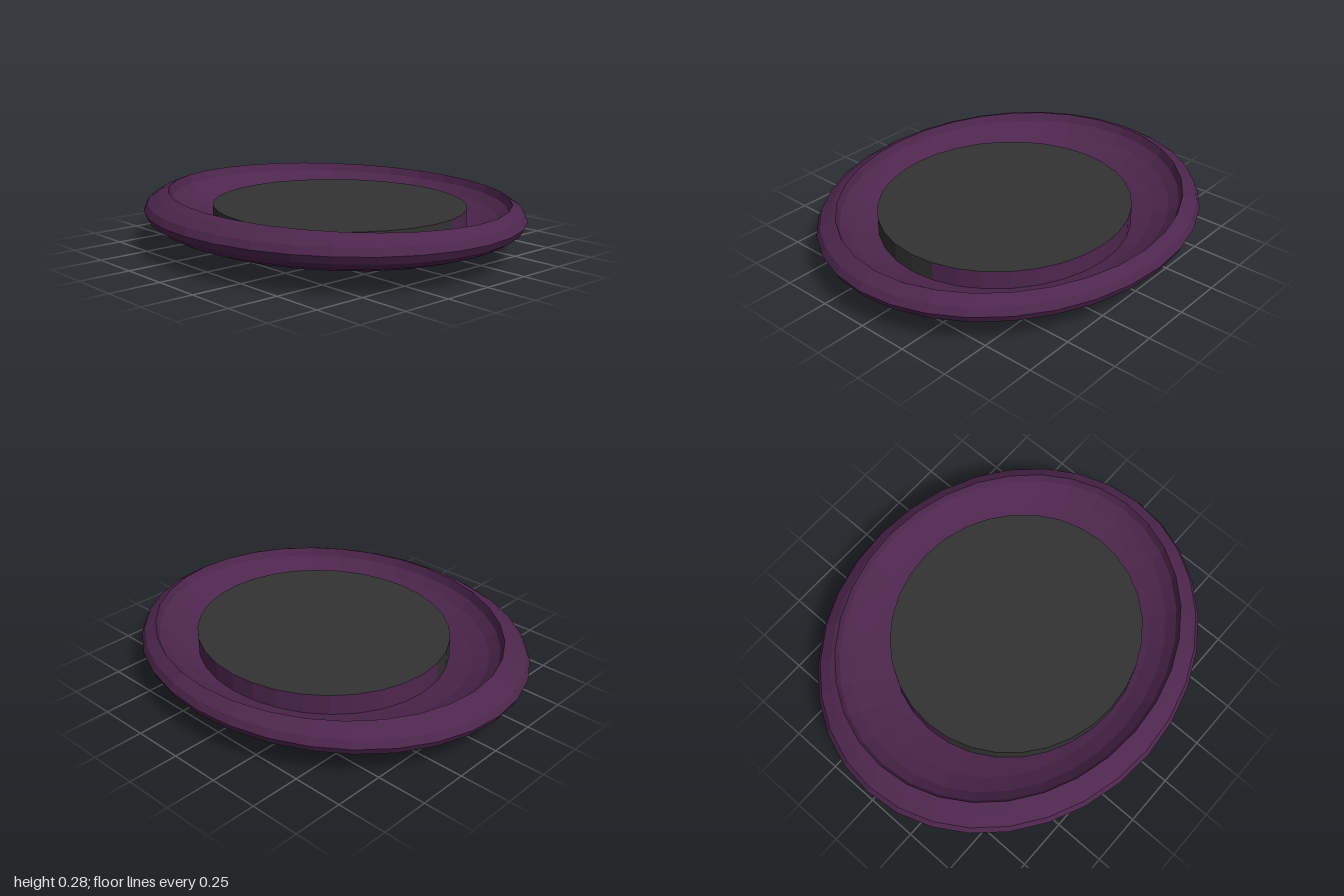
import * as THREE from 'three';

const SEGMENTS = 32;
const STEP = Math.PI / 16;
const RX = 0.87, RZ = 1.0, RY = 0.185; // outer ellipsoid radii

// Skin a list of closed rings; the first and last rings are single poles
function skin(rings) {
  const positions = rings.flat(2);
  const index = [];
  for (let i = 0; i < rings.length - 1; i++) {
    for (let j = 0; j < SEGMENTS; j++) {
      const k = (j + 1) % SEGMENTS;
      const a = i * SEGMENTS + j, b = i * SEGMENTS + k;
      const c = a + SEGMENTS, d = b + SEGMENTS;
      if (i < rings.length - 2) index.push(a, c, d);
      if (i > 0) index.push(a, d, b);
    }
  }
  const geometry = new THREE.BufferGeometry();
  geometry.setAttribute('position', new THREE.Float32BufferAttribute(positions, 3));
  geometry.setIndex(index);
  geometry.computeVertexNormals();
  return geometry;
}

function ring(pointAt) {
  return Array.from({ length: SEGMENTS }, (_, j) => pointAt((j / SEGMENTS) * Math.PI * 2));
}

// Hollow's edge: a slightly off-centre oval lying on the outer ellipsoid
function rimPoint(a) {
  const x = 0.02 + 0.78 * Math.cos(a), z = 0.02 + 0.9 * Math.sin(a);
  const f = Math.hypot(x / RX, z / RZ);
  const s = Math.min(f, 0.922) / f;
  return [x * s, RY + RY * Math.sqrt(1 - (f * s) ** 2), z * s];
}

function dishGeometry() {
  const rings = [];
  // Outside, from the bottom pole to just above the equator
  for (let i = -8; i <= 2; i++) {
    const t = i * STEP;
    rings.push(ring(a => [
      RX * Math.cos(t) * Math.cos(a), RY + RY * Math.sin(t), RZ * Math.cos(t) * Math.sin(a),
    ]));
  }
  // Hollow, from the rim down to its centre
  const floor = 0.065;
  for (let i = 0; i <= 8; i++) {
    const c = Math.cos(i * STEP), s = Math.sin(i * STEP);
    rings.push(ring(a => {
      const [x, y, z] = rimPoint(a);
      return [0.02 + (x - 0.02) * c, floor + (y - floor) * (1 - s), 0.02 + (z - 0.02) * c];
    }));
  }
  return skin(rings);
}

export function createModel() {
  const purple = new THREE.MeshStandardMaterial({ color: 0x4d264d, flatShading: true });
  purple.name = 'purple';
  const charcoal = new THREE.MeshStandardMaterial({ color: 0x333333, flatShading: true });
  charcoal.name = 'charcoal';

  const model = new THREE.Group();
  model.name = 'dish';
  const add = (parent, name, geometry, material) => {
    const mesh = new THREE.Mesh(geometry, material);
    mesh.name = name;
    parent.add(mesh);
    return mesh;
  };

  add(model, 'bowl', dishGeometry(), purple);

  // Raised oval pad: charcoal top, wall half charcoal and half purple
  const pad = new THREE.Group();
  pad.name = 'pad';
  pad.position.set(0.003, 0, 0.055);
  pad.scale.set(0.6, 1, 0.635);
  model.add(pad);

  const top = 0.222, base = 0.1;
  const disc = new THREE.CircleGeometry(1, SEGMENTS).rotateX(-Math.PI / 2);
  add(pad, 'padTop', disc, charcoal).position.y = top;
  const wall = start =>
    new THREE.CylinderGeometry(1, 1, top - base, SEGMENTS / 2, 1, true, start, Math.PI);
  add(pad, 'padWallLeft', wall(STEP), purple).position.y = (top + base) / 2;
  add(pad, 'padWallRight', wall(STEP + Math.PI), charcoal).position.y = (top + base) / 2;

  return model;
}
